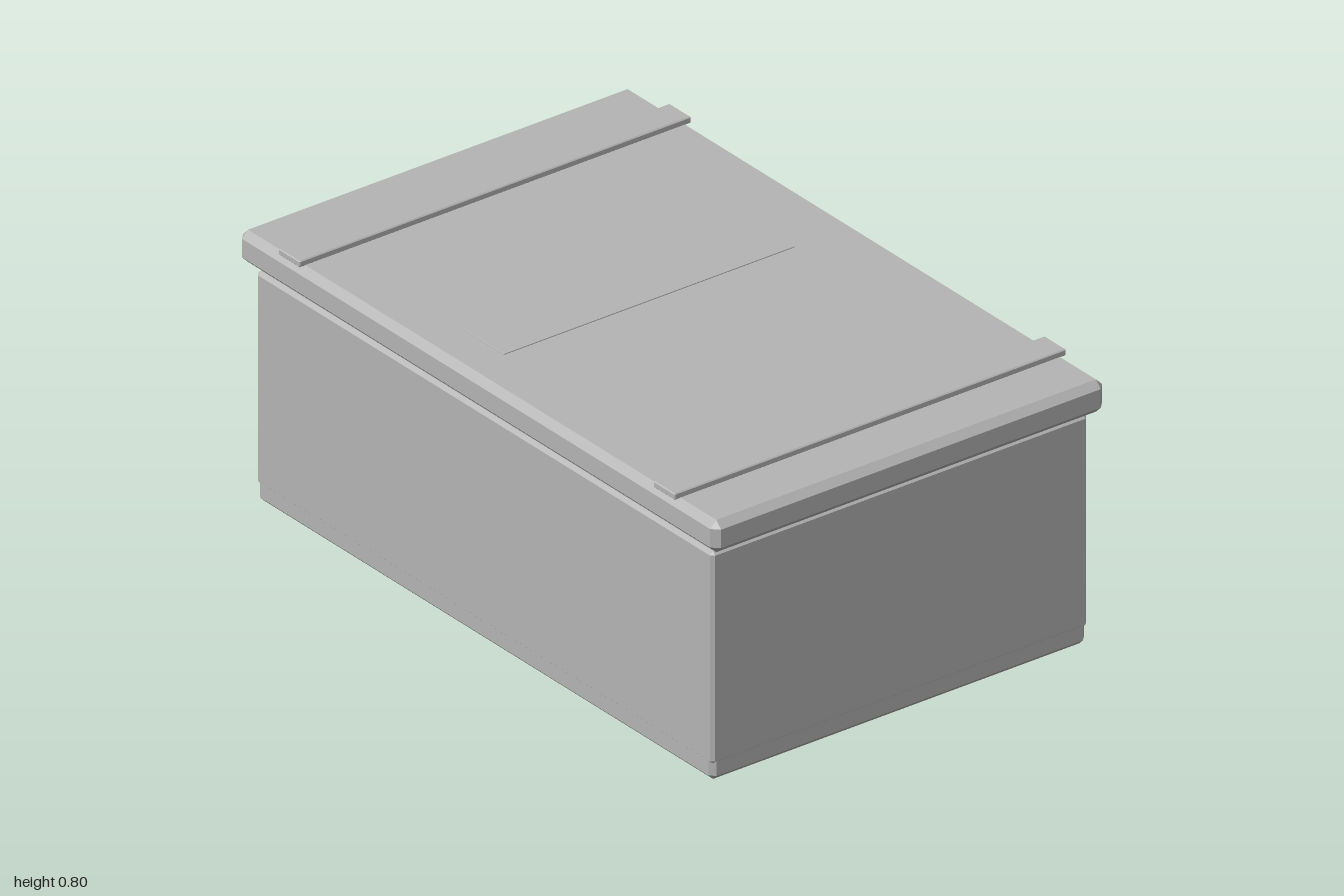
import * as THREE from 'three';
import { ConvexGeometry } from 'three/addons/geometries/ConvexGeometry.js';

// Box with every edge and corner cut by c, given as [min, max] per axis
function chamferedBox(xs, ys, zs, c) {
  const size = [xs, ys, zs].map(([a, b]) => (b - a) / 2);
  const mid = [xs, ys, zs].map(([a, b]) => (a + b) / 2);
  const points = [];
  for (const sx of [-1, 1]) for (const sy of [-1, 1]) for (const sz of [-1, 1]) {
    const sign = [sx, sy, sz];
    for (let full = 0; full < 3; full++) {
      points.push(new THREE.Vector3(...sign.map((s, i) => s * (size[i] - (i === full ? 0 : c)))));
    }
  }
  return new ConvexGeometry(points).translate(...mid);
}

export function createModel() {
  const model = new THREE.Group();
  model.name = 'storageBox';
  const grey = new THREE.MeshStandardMaterial({ color: 0xb4b4b4 });
  grey.name = 'grey';

  const add = (name, xs, ys, zs, c) => {
    const mesh = new THREE.Mesh(chamferedBox(xs, ys, zs, c), grey);
    mesh.name = name;
    model.add(mesh);
  };

  // Box body on a slightly inset base plate
  add('base', [-0.954, 0.954], [0, 0.08], [-0.602, 0.613], 0.015);
  add('body', [-0.956, 0.956], [0.05, 0.67], [-0.604, 0.614], 0.01);
  // Overhanging lid, floating just above the body
  add('lid', [-1, 1], [0.686, 0.78], [-0.629, 0.639], 0.02);
  // Flat label panel on the lid
  add('lidPanel', [-0.225, -0.05], [0.775, 0.783], [-0.43, 0.51], 0.001);

  // Straps across the lid and down the back
  for (const [side, x] of [['left', 0.785], ['right', -0.785]]) {
    const xs = [x - 0.045, x + 0.045];
    add(side + 'LidStrap', xs, [0.778, 0.797], [-0.629, 0.638], 0.003);
    add(side + 'BackStrap', xs, [0.04, 0.68], [-0.621, -0.602], 0.003);
  }

  // Latch in the middle of the back
  add('latch', [-0.067, 0.067], [0.395, 0.628], [-0.638, -0.6], 0.006);

  return model;
}
